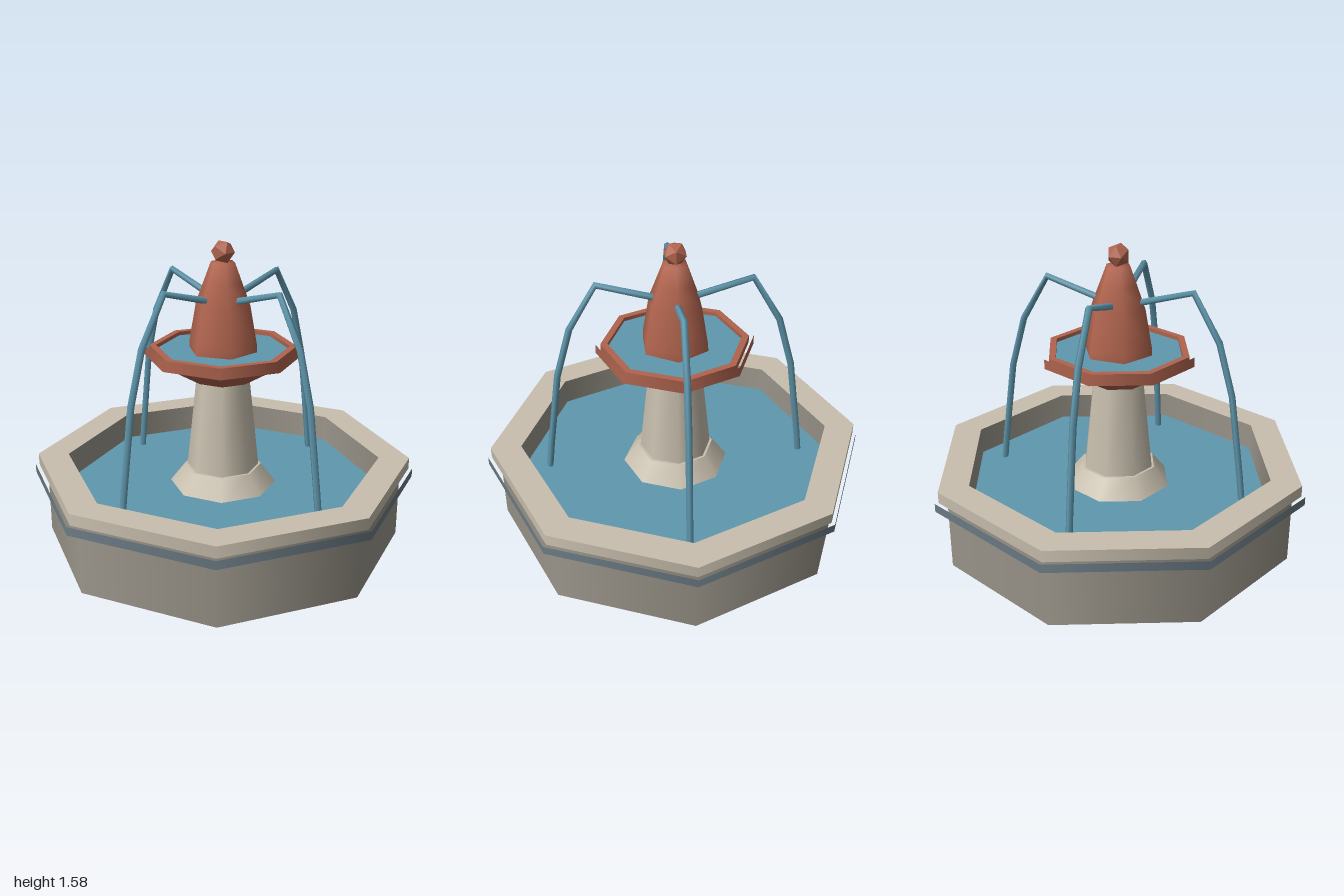
import * as THREE from 'three';

const STONE = 0xc8bfae, WALL = 0x9a958a, SLATE = 0x6b7b85, CLAY = 0xb0644e, WATER = 0x5f97ad;

// Straight-segment path with evenly spaced corners, so a tube keeps its kinks
class Polyline extends THREE.Curve {
  constructor(points) { super(); this.points = points; }
  getUtoTmapping(u) { return u; }
  getPoint(t, target = new THREE.Vector3()) {
    const n = this.points.length - 1;
    const i = Math.min(Math.floor(t * n), n - 1);
    return target.lerpVectors(this.points[i], this.points[i + 1], t * n - i);
  }
}

export function createModel() {
  const model = new THREE.Group();

  const add = (name, geometry, color, side = THREE.FrontSide) => {
    const mesh = new THREE.Mesh(geometry, new THREE.MeshStandardMaterial({ color, side }));
    mesh.name = name;
    model.add(mesh);
    return mesh;
  };
  // Eight-sided tapered drum between two heights
  const drum = (name, y0, y1, r0, r1, color, open = true, side) => {
    const mesh = add(name, new THREE.CylinderGeometry(r1, r0, y1 - y0, 8, 1, open), color, side);
    mesh.position.y = (y0 + y1) / 2;
    return mesh;
  };
  // Flat eight-sided ring or disc as a lathe with corners on the axes
  const flat = (name, y, inner, outer, color) => add(name,
    new THREE.LatheGeometry([new THREE.Vector2(outer, y), new THREE.Vector2(inner, y)], 8),
    color, THREE.DoubleSide);

  // Basin
  drum('basinWall', 0, 0.38, 0.935, 0.935, WALL, true, THREE.DoubleSide);
  flat('basinFloor', 0.015, 0, 0.82, WALL);
  drum('basinInnerWall', 0.28, 0.44, 0.82, 0.82, WALL, true, THREE.BackSide);
  drum('basinRimEdge', 0.38, 0.44, 0.98, 0.98, STONE);
  flat('basinRimTop', 0.44, 0.82, 0.98, STONE);
  flat('basinRimUnderside', 0.38, 0.935, 0.98, STONE);
  drum('basinTrimBand', 0.335, 0.38, 1, 1, SLATE);
  flat('basinWater', 0.3, 0, 0.815, WATER);

  // Pedestal
  drum('pedestalFoot', 0.29, 0.4, 0.285, 0.2, STONE, false);
  drum('pedestalColumn', 0.4, 0.89, 0.187, 0.135, STONE, false);

  // Upper bowl
  drum('bowlBody', 0.88, 1.01, 0.16, 0.375, CLAY);
  flat('bowlUnderside', 0.88, 0, 0.16, CLAY);
  drum('bowlRimEdge', 1.01, 1.05, 0.375, 0.375, CLAY);
  drum('bowlInnerWall', 1.02, 1.05, 0.34, 0.34, CLAY, true, THREE.BackSide);
  flat('bowlRimTop', 1.05, 0.34, 0.375, CLAY);
  drum('bowlLipBand', 1, 1.05, 0.4, 0.4, CLAY);
  flat('bowlWater', 1.03, 0, 0.34, WATER);

  // Six-sided bell and finial
  const bell = [[0.18, 1.03], [0.178, 1.07], [0.142, 1.27], [0.1, 1.38], [0.062, 1.48], [0, 1.48]];
  add('bell', new THREE.LatheGeometry(bell.map(([r, y]) => new THREE.Vector2(r, y)), 6), CLAY);
  const finial = add('finial', new THREE.IcosahedronGeometry(0.061), CLAY);
  finial.material.flatShading = true;
  finial.position.y = 1.53;

  // Four water jets arching from the bell into the basin
  const arc = [[0.09, 1.295], [0.385, 1.382], [0.525, 1.14], [0.6, 0.87], [0.66, 0.44], [0.677, 0.3]];
  const path = new Polyline(arc.map(([x, y]) => new THREE.Vector3(x, y, 0)));
  const jetGeometry = new THREE.TubeGeometry(path, arc.length - 1, 0.018, 5, false);
  for (let i = 0; i < 4; i++) {
    const jet = add('waterJet', jetGeometry, WATER, THREE.DoubleSide);
    jet.rotation.y = i * Math.PI / 2;
  }
  return model;
}
